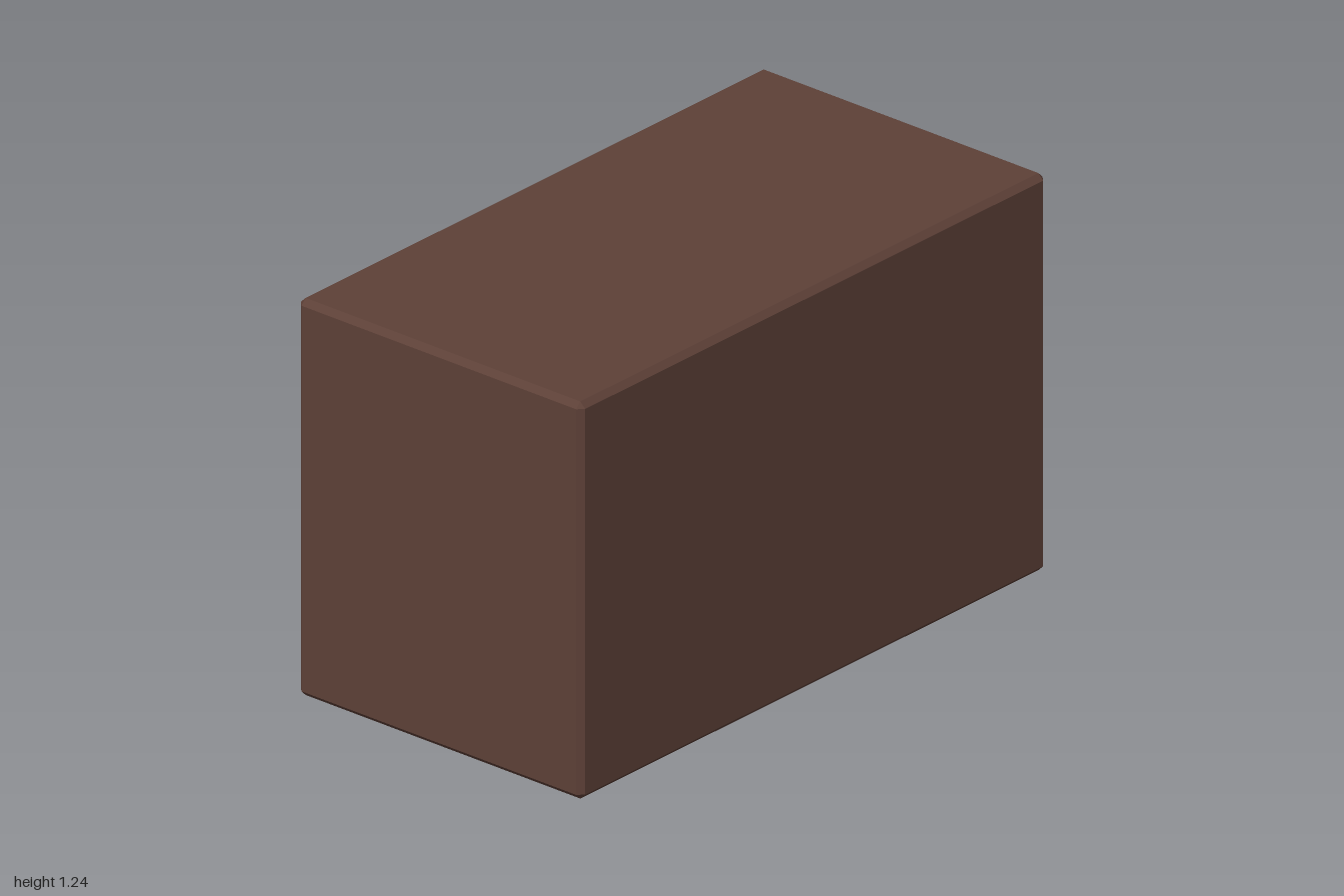
import * as THREE from 'three';
import { ConvexGeometry } from 'three/addons/geometries/ConvexGeometry.js';

const W = 2, H = 1.24, D = 1.06, BEVEL = 0.018;

// Box with every edge cut at 45 degrees: three points per corner
function chamferedBox(w, h, d, c) {
  const points = [];
  for (const sx of [-1, 1]) for (const sy of [-1, 1]) for (const sz of [-1, 1]) {
    const half = [w / 2, h / 2, d / 2];
    for (let axis = 0; axis < 3; axis++) {
      const p = half.map((v, i) => (i === axis ? v : v - c));
      points.push(new THREE.Vector3(p[0] * sx, p[1] * sy, p[2] * sz));
    }
  }
  return new ConvexGeometry(points);
}

// Closed outline of [x, y, radius] corners, each one rounded
function roundedOutline(corners) {
  const shape = new THREE.Shape();
  const n = corners.length;
  corners.forEach(([x, y, r], i) => {
    const at = new THREE.Vector2(x, y);
    const toward = ([px, py]) =>
      new THREE.Vector2(px, py).sub(at).setLength(r).add(at);
    const a = toward(corners[(i + n - 1) % n]);
    const b = toward(corners[(i + 1) % n]);
    if (i === 0) shape.moveTo(a.x, a.y);
    else shape.lineTo(a.x, a.y);
    shape.quadraticCurveTo(x, y, b.x, b.y);
  });
  shape.closePath();
  return shape;
}

export function createModel() {
  const model = new THREE.Group();
  model.name = 'cabinet';

  const brown = new THREE.MeshStandardMaterial({ color: 0x5d4037 });
  brown.name = 'brown casing';
  const grey = new THREE.MeshStandardMaterial({ color: 0x474747 });
  grey.name = 'dark grey panel';

  // Casing
  const casing = new THREE.Mesh(chamferedBox(W, H, D, BEVEL), brown);
  casing.name = 'casing';
  casing.position.y = H / 2;
  model.add(casing);

  // Flush panels on the back, outlined as seen from behind (u = -x)
  const addPanel = (name, corners) => {
    const panel = new THREE.Mesh(new THREE.ShapeGeometry(roundedOutline(corners), 5), grey);
    panel.name = name;
    panel.rotation.y = Math.PI;
    panel.position.z = -D / 2 - 0.002;
    model.add(panel);
  };

  addPanel('largePanel', [
    [-0.9, 0.21, 0.04], [0.41, 0.21, 0.04], [0.41, 1.07, 0.04], [-0.9, 1.07, 0.04],
  ]);

  // Small panel with a notch in its lower edge
  addPanel('smallPanel', [
    [0.47, 0.635, 0.03], [0.785, 0.635, 0.01], [0.79, 0.665, 0.01],
    [0.775, 0.68, 0.008], [0.805, 0.705, 0.01], [0.9, 0.7, 0.015],
    [0.93, 0.64, 0.01], [0.945, 0.645, 0.005],
    [0.945, 1.04, 0.03], [0.47, 1.04, 0.03],
  ]);

  return model;
}
